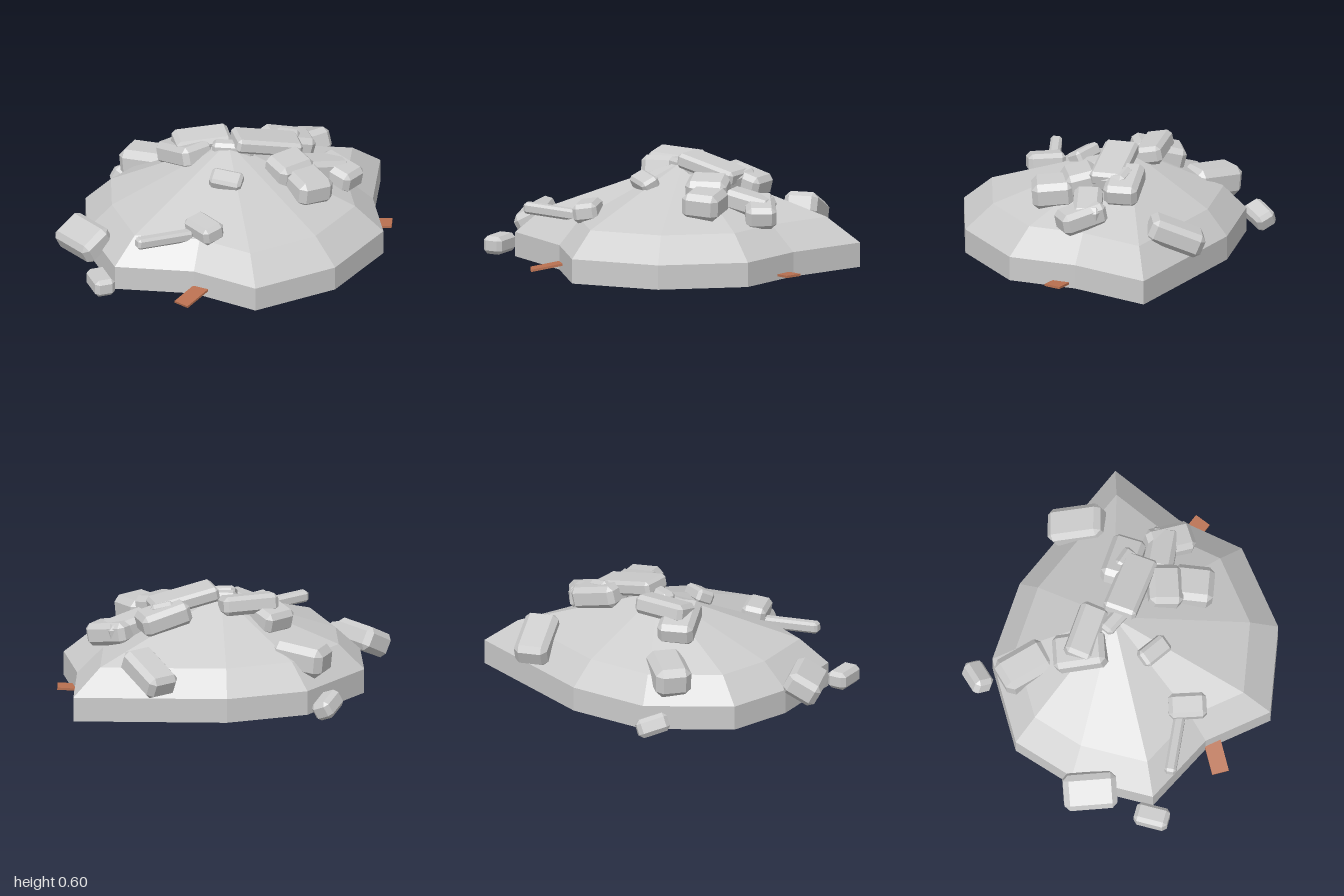
import * as THREE from 'three';
import { ConvexGeometry } from 'three/addons/geometries/ConvexGeometry.js';

const stone = new THREE.MeshStandardMaterial({ color: 0xcccccc, flatShading: true });
const wood = new THREE.MeshStandardMaterial({ color: 0xb87050, flatShading: true });

// Ground outline of the heap as [x, z]
const OUTLINE = [
  [1, 0.08], [0.69, 0.38], [0.495, 0.69], [0.04, 0.83], [-0.43, 0.735], [-0.55, 0.38],
  [-0.83, 0.07], [-0.67, -0.34], [-0.445, -0.61], [0.03, -0.68], [0.43, -0.49], [0.67, -0.25],
];

// Box with every edge and corner bevelled
function bevelledBox(w, h, d) {
  const b = Math.min(w, h, d) * 0.22;
  const points = [];
  for (const x of [-1, 1]) for (const y of [-1, 1]) for (const z of [-1, 1]) {
    points.push(
      new THREE.Vector3(x * w / 2, y * (h / 2 - b), z * (d / 2 - b)),
      new THREE.Vector3(x * (w / 2 - b), y * h / 2, z * (d / 2 - b)),
      new THREE.Vector3(x * (w / 2 - b), y * (h / 2 - b), z * d / 2),
    );
  }
  return new ConvexGeometry(points);
}

// Faceted mound: upright skirt, steep shoulder, then a cone up to the peak
function mound() {
  const rings = [[1, 0.02], [1, 0.15], [0.82, 0.28]];
  const n = OUTLINE.length;
  const pos = [];
  for (const [s, y] of rings) for (const [x, z] of OUTLINE) pos.push(x * s, y, z * s);
  pos.push(0.05, 0.54, -0.04, 0, 0.02, 0);
  const peak = n * rings.length, base = peak + 1;
  const index = [];
  for (let i = 0; i < n; i++) {
    const j = (i + 1) % n;
    for (let r = 0; r < rings.length - 1; r++) {
      const a = r * n + i, b = r * n + j;
      index.push(a, a + n, b, b, a + n, b + n);
    }
    const top = (rings.length - 1) * n;
    index.push(top + i, peak, top + j);
    index.push(i, j, base);
  }
  const g = new THREE.BufferGeometry();
  g.setAttribute('position', new THREE.Float32BufferAttribute(pos, 3));
  g.setIndex(index);
  const flat = g.toNonIndexed();
  flat.computeVertexNormals();
  return flat;
}

// Each block: centre, size (long side on z), then pitch, yaw, roll
const BLOCKS = [
  { at: [-0.035, 0.08, -0.765], size: [0.11, 0.1, 0.17], turn: [0.25, 1.95, 0.4] },
  { at: [-0.08, 0.28, -0.52], size: [0.19, 0.16, 0.29], turn: [-0.1, 0.4, 0] },
  { at: [-0.765, 0.17, -0.255], size: [0.19, 0.13, 0.28], turn: [0, -0.03, 0.5] },
  { at: [-0.915, 0.085, 0.055], size: [0.11, 0.095, 0.18], turn: [0, -0.38, 0] },
  { at: [-0.61, 0.295, 0.21], size: [0.06, 0.06, 0.32], turn: [0.06, 1.3, 0] },
  { at: [-0.41, 0.325, 0.3], size: [0.13, 0.1, 0.2], turn: [0, -0.06, 0.15] },
  { at: [-0.13, 0.455, 0.155], size: [0.1, 0.075, 0.17], turn: [0.1, 0.62, 0.45] },
];
const PEAK_BLOCKS = [
  { at: [-0.09, 0.455, -0.23], size: [0.19, 0.12, 0.28], turn: [-0.25, -0.05, 0] },
  { at: [-0.005, 0.51, -0.19], size: [0.15, 0.1, 0.3], turn: [0, 1.12, 0.2] },
  { at: [0.06, 0.51, -0.01], size: [0.08, 0.08, 0.22], turn: [0, 0.75, 0] },
  { at: [0.22, 0.525, 0.07], size: [0.18, 0.08, 0.36], turn: [0.2, 1.1, 0] },
  { at: [0.38, 0.465, 0.05], size: [0.18, 0.12, 0.27], turn: [0.25, 1.15, 0] },
  { at: [0.33, 0.48, 0.11], size: [0.13, 0.09, 0.22], turn: [0.2, -0.7, -0.2] },
  { at: [0.22, 0.45, 0.25], size: [0.22, 0.13, 0.18], turn: [0.2, -0.05, 0] },
  { at: [0.44, 0.38, 0.26], size: [0.15, 0.11, 0.26], turn: [0.2, 1.3, 0] },
  { at: [0.225, 0.4, 0.4], size: [0.2, 0.14, 0.22], turn: [0.08, -0.2, -0.05] },
  { at: [0.505, 0.35, 0.31], size: [0.16, 0.12, 0.25], turn: [0.2, 0.2, 0] },
  { at: [0.68, 0.275, -0.16], size: [0.18, 0.13, 0.3], turn: [-0.4, -0.12, 0] },
];

// Broken boards poking out from under the heap
const BOARDS = [
  { at: [-0.61, 0.046, 0.43], size: [0.17, 0.012, 0.09], turn: [0, 0.15, 0.2] },
  { at: [0.65, 0.045, 0.45], size: [0.09, 0.012, 0.17], turn: [-0.05, 0.8, 0] },
  { at: [0.59, 0.02, 0.27], size: [0.05, 0.012, 0.06], turn: [0.3, 0.6, 0.2] },
];

function addAll(parent, list, name, material, makeGeometry) {
  const group = new THREE.Group();
  group.name = name + 's';
  for (const { at, size, turn } of list) {
    const mesh = new THREE.Mesh(makeGeometry(...size), material);
    mesh.name = name;
    mesh.position.set(...at);
    mesh.rotation.set(...turn, 'YXZ');
    group.add(mesh);
  }
  parent.add(group);
}

export function createModel() {
  const model = new THREE.Group();
  model.name = 'rubblePile';
  const heap = new THREE.Mesh(mound(), stone);
  heap.name = 'mound';
  model.add(heap);
  addAll(model, BLOCKS, 'scatteredBlock', stone, bevelledBox);
  addAll(model, PEAK_BLOCKS, 'peakBlock', stone, bevelledBox);
  addAll(model, BOARDS, 'board', wood, (w, h, d) => new THREE.BoxGeometry(w, h, d));
  return model;
}
